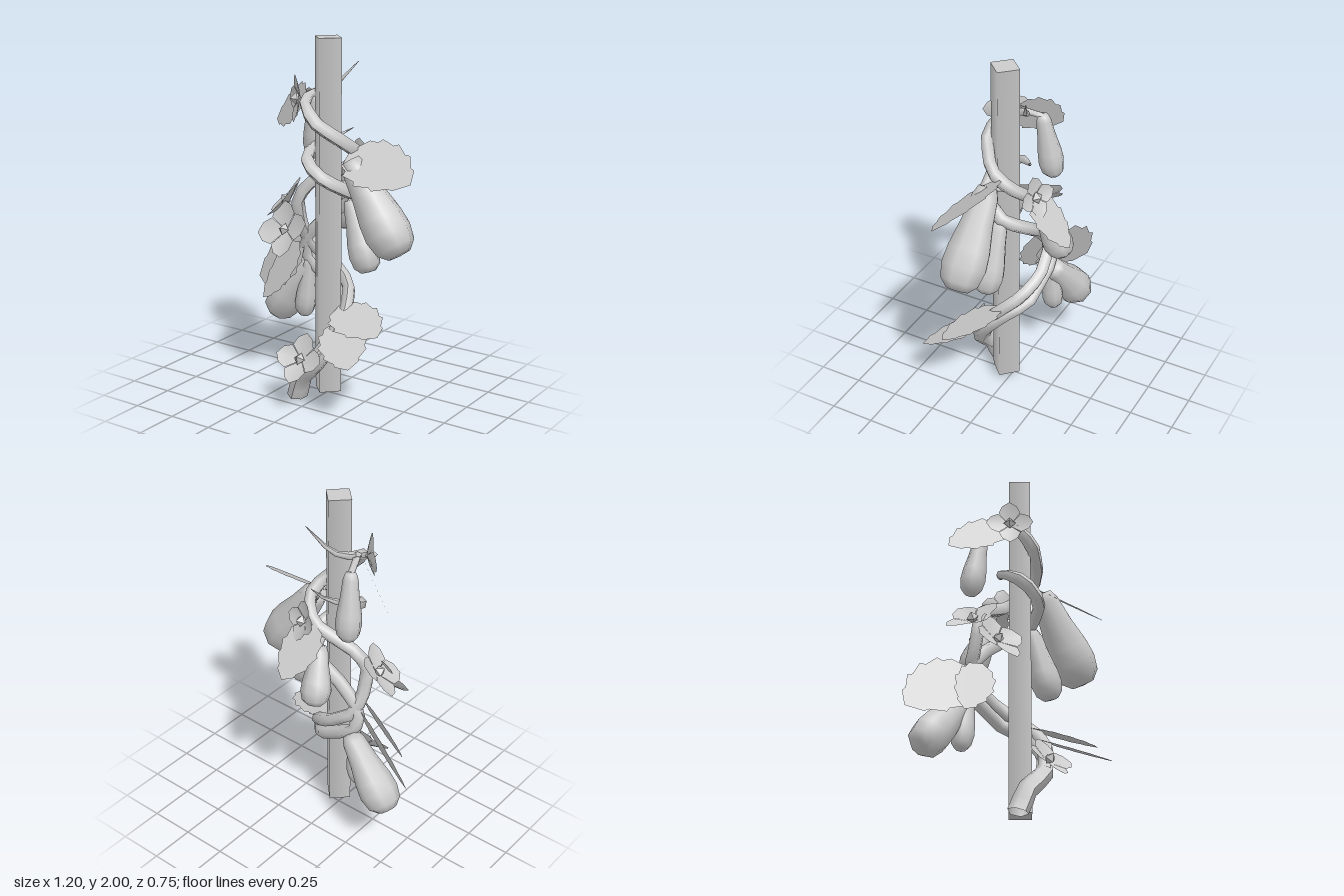
import * as THREE from 'three';

const V = (a) => new THREE.Vector3(...a);
const solid = new THREE.MeshStandardMaterial({ color: 0xcccccc });
const thin = new THREE.MeshStandardMaterial({ color: 0xcccccc, side: THREE.DoubleSide });

function add(parent, name, geometry, material = solid) {
  const mesh = new THREE.Mesh(geometry, material);
  mesh.name = name;
  parent.add(mesh);
  return mesh;
}

// Six-sided stem with crisp bends, tapering from r0 to r1 and to a point over the tip
function stem(parent, name, points, r0, r1, tipFrom = 1) {
  const curve = new THREE.CatmullRomCurve3(points.map(V), false, 'catmullrom', 0.1);
  const n = points.length * 2;
  const geo = new THREE.TubeGeometry(curve, n, 1, 6, false);
  const pos = geo.attributes.position;
  const p = new THREE.Vector3();
  for (let i = 0; i <= n; i++) {
    const t = i / n;
    const c = curve.getPointAt(t);
    let r = r1 + (r0 - r1) * Math.max(0, 1 - t * 3);
    if (t > tipFrom) r *= 0.05 + 0.95 * (1 - t) / (1 - tipFrom);
    for (let j = 0; j <= 6; j++) {
      const k = i * 7 + j;
      p.fromBufferAttribute(pos, k).sub(c).multiplyScalar(r).add(c);
      pos.setXYZ(k, p.x, Math.max(0, p.y), p.z);
    }
  }
  geo.computeVertexNormals();
  add(parent, name, geo, thin);
}

// Pear-shaped fruit hanging from top to bottom
function fruit(parent, top, bottom, r) {
  const a = V(top), d = V(bottom).sub(a);
  const len = d.length();
  const profile = [[0, 0], [0.42, 0.01], [0.58, 0.1], [0.72, 0.35], [0.94, 0.6], [1, 0.76], [0.86, 0.91], [0.5, 0.99], [0, 1]]
    .map(([x, y]) => new THREE.Vector2(x * r, -y * len)).reverse();
  const mesh = add(parent, 'fruit', new THREE.LatheGeometry(profile, 8));
  mesh.position.copy(a);
  mesh.quaternion.setFromUnitVectors(new THREE.Vector3(0, -1, 0), d.normalize());
}

// Half outline of a leaf, as [half width, length] on a unit leaf
const leafEdge = [[0.06, 0.03], [0.24, 0.1], [0.27, 0.2], [0.34, 0.22], [0.33, 0.4], [0.38, 0.44],
  [0.3, 0.62], [0.32, 0.68], [0.19, 0.82], [0.18, 0.88]];
// Serrated leaf from base to tip; across gives the direction of its width
function leaf(parent, base, tip, across, width) {
  const a = V(base), y = V(tip).sub(a);
  const len = y.length();
  y.normalize();
  const x = V(across).addScaledVector(y, -V(across).dot(y)).normalize();
  const z = new THREE.Vector3().crossVectors(x, y);
  const outline = [[0, 0], ...leafEdge, [0, 1], ...leafEdge.map(([u, v]) => [-u, v]).reverse()]
    .map(([u, v]) => new THREE.Vector2(u * width / 0.76, v * len));
  const mesh = add(parent, 'leaf', new THREE.ShapeGeometry(new THREE.Shape(outline)), thin);
  mesh.quaternion.setFromRotationMatrix(new THREE.Matrix4().makeBasis(x, y, z));
  mesh.position.copy(a);
}

// One broad petal, rising outward from the centre and creased along the middle
function petalGeometry() {
  const w = 0.46;
  const geo = new THREE.BufferGeometry();
  geo.setAttribute('position', new THREE.Float32BufferAttribute([
    0, 0, 0, w, 0.48, 0.22, 0.32, 0.8, 0.26, 0, 1, 0.28, -0.32, 0.8, 0.26, -w, 0.48, 0.22, 0, 0.5, 0.1], 3));
  geo.setIndex([0, 1, 6, 1, 2, 6, 2, 3, 6, 3, 4, 6, 4, 5, 6, 5, 0, 6]);
  geo.computeVertexNormals();
  return geo;
}

// Four-petalled flower with a faceted heart, facing along a direction
function flower(parent, centre, facing, r, spin = 0) {
  const g = new THREE.Group();
  g.name = 'flower';
  const petal = petalGeometry();
  for (let i = 0; i < 4; i++) {
    const m = add(g, 'petal', petal, thin);
    m.scale.setScalar(r);
    m.rotation.z = spin + i * Math.PI / 2;
  }
  const heart = add(g, 'flowerHeart', new THREE.OctahedronGeometry(0.034, 0));
  heart.position.z = 0.025;
  g.position.copy(V(centre));
  g.quaternion.setFromUnitVectors(new THREE.Vector3(0, 0, 1), V(facing).normalize());
  parent.add(g);
}

export function createModel() {
  const model = new THREE.Group();
  model.name = 'climbingPlant';

  // Square post, corner to the front
  const post = add(model, 'post', new THREE.CylinderGeometry(0.085, 0.085, 1.96, 4));
  post.position.set(0.026, 1.02, 0.032);

  // Two vines that wind round the post, turn back, and climb to the top
  stem(model, 'mainVine', [
    [-0.105, 0, 0.145], [-0.06, 0.13, 0.165], [0.04, 0.23, 0.19], [0.13, 0.38, 0.11], [0.13, 0.5, 0.0],
    [0.03, 0.57, -0.11], [-0.21, 0.71, -0.13], [-0.22, 0.84, -0.1],
    [-0.1, 0.97, -0.11], [0.06, 1.09, -0.13], [0.16, 1.16, -0.03], [0.11, 1.23, 0.1],
    [0.02, 1.29, 0.15], [-0.07, 1.36, 0.1], [-0.09, 1.41, 0], [0.0, 1.45, -0.1], [0.08, 1.5, -0.13]], 0.058, 0.037, 0.85);
  stem(model, 'secondVine', [
    [0.03, 0.24, 0.2], [0.13, 0.42, 0.12], [0.14, 0.53, 0.02], [0.08, 0.63, -0.09], [-0.05, 0.71, -0.14],
    [-0.2, 0.82, -0.12], [-0.22, 0.94, -0.06], [-0.22, 1.08, -0.03], [-0.17, 1.17, -0.06],
    [0.06, 1.29, -0.13], [0.16, 1.38, -0.06], [0.15, 1.45, 0.05], [0.03, 1.55, 0.14], [-0.06, 1.64, 0.13],
    [-0.09, 1.69, 0.04], [-0.06, 1.71, -0.05], [0.02, 1.75, -0.08], [0.11, 1.86, -0.13]], 0.038, 0.037, 0.8);

  // Fruits: top, bottom, greatest radius
  [
    [[-0.15, 1.67, -0.09], [-0.18, 1.3, -0.15], 0.07],
    [[0.18, 1.37, 0.05], [0.5, 0.9, 0.065], 0.128],
    [[0.15, 1.14, 0.0], [0.28, 0.76, 0.02], 0.085],
    [[0.0, 1.2, -0.16], [-0.06, 0.9, -0.28], 0.083],
    [[-0.19, 0.69, -0.14], [-0.49, 0.33, -0.18], 0.108],
    [[-0.2, 0.72, -0.12], [-0.25, 0.37, -0.13], 0.062],
  ].forEach((f) => fruit(model, ...f));

  // Short stalks joining fruits to the vines
  [
    [[-0.1, 1.7, 0.03], [-0.15, 1.66, -0.09]],
    [[0.14, 1.36, -0.04], [0.18, 1.36, 0.05]],
    [[0.14, 1.18, -0.03], [0.15, 1.13, 0.0]],
    [[0.0, 1.25, -0.13], [0.0, 1.19, -0.16]],
  ].forEach((p) => stem(model, 'stalk', p, 0.022, 0.018));

  // Leaves: base, tip, width direction, width
  [
    [[0.15, 1.41, 0.01], [0.6, 1.31, 0.14], [0, 0.58, -0.81], 0.34],
    [[-0.1, 1.7, 0.05], [-0.4, 1.5, -0.09], [-0.29, 0.73, -0.6], 0.24],
    [[0.1, 0.54, 0.04], [0.45, 0.48, 0.2], [0, -0.38, 1], 0.28],
    [[0.12, 0.47, 0.07], [0.38, 0.34, 0.37], [0.7, 0.3, -0.65], 0.28],
    [[-0.21, 0.83, -0.09], [-0.6, 0.53, -0.17], [-0.4, 0.68, -0.52], 0.36],
    [[-0.2, 0.84, -0.02], [-0.4, 0.5, 0.06], [0.7, -0.4, 0.5], 0.22],
    [[0.05, 1.31, -0.14], [0.08, 1.06, -0.38], [1, 0, 0], 0.25],
  ].forEach((l) => leaf(model, ...l));

  // Flowers: centre, facing, radius, spin
  [
    [[0, 0.27, 0.25], [0, 0.6, 0.8], 0.145],
    [[-0.21, 0.93, 0.09], [-0.1, 0.45, 0.85], 0.165, 0.3],
    [[-0.27, 1.06, -0.02], [-0.6, 0.6, 0.3], 0.16, 0.3],
    [[-0.11, 1.67, 0.09], [-0.7, 0.05, 0.7], 0.13],
    [[0.09, 1.32, -0.17], [0.3, 0.3, -0.9], 0.115],
  ].forEach((f) => flower(model, ...f));

  return model;
}
